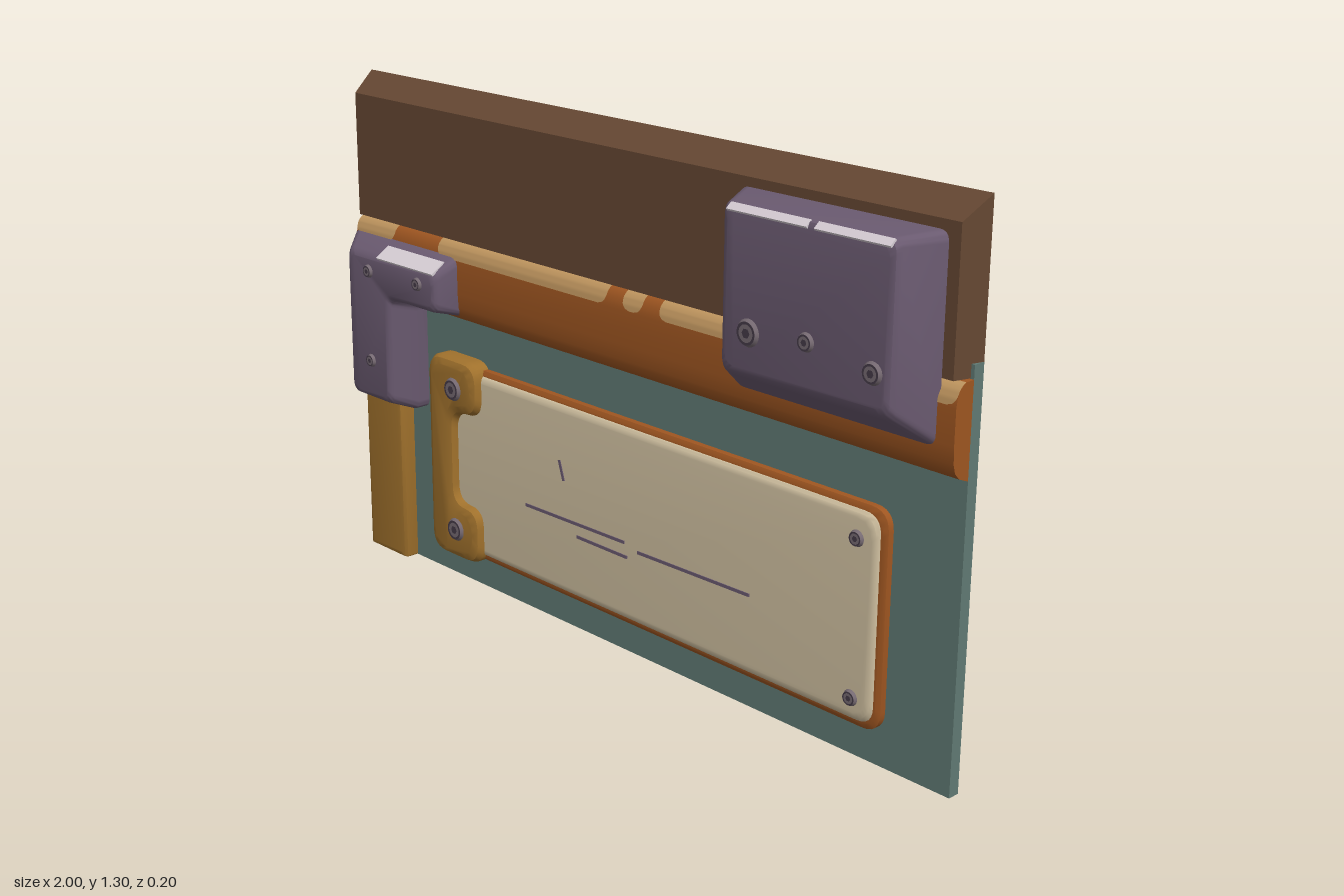
import * as THREE from 'three';
import { toCreasedNormals } from 'three/addons/utils/BufferGeometryUtils.js';

const paint = (name, color) => {
  const m = new THREE.MeshStandardMaterial({ color });
  m.name = name;
  return m;
};

// Shrinks a counter-clockwise outline by d
function inset(pts, d) {
  const n = pts.length;
  const inward = (a, b) => new THREE.Vector2(a.y - b.y, b.x - a.x).normalize();
  return pts.map((p, i) => {
    const n1 = inward(pts[(i + n - 1) % n], p), n2 = inward(p, pts[(i + 1) % n]);
    return p.clone().addScaledVector(n1.clone().add(n2), d / (1 + n1.dot(n2)));
  });
}

// Rounds every corner of an outline
function rounded(pts, r, steps = 6) {
  const out = [], n = pts.length;
  pts.forEach((p, i) => {
    const toward = (q) => p.clone().add(q.clone().sub(p).setLength(Math.min(r, q.distanceTo(p) * 0.49)));
    const curve = new THREE.QuadraticBezierCurve(toward(pts[(i + n - 1) % n]), p, toward(pts[(i + 1) % n]));
    out.push(...curve.getPoints(steps));
  });
  return out;
}

// Lofts a back outline into a front one; profile rows are [z, blend, inset]
function plate(back, front, r, profile) {
  const a = back.map((p) => new THREE.Vector2(...p)), b = front.map((p) => new THREE.Vector2(...p));
  const rings = profile.map(([, t, d]) => rounded(inset(a.map((p, i) => p.clone().lerp(b[i], t)), d), r));
  const n = rings[0].length, pos = [], idx = [];
  rings.forEach((ring, k) => ring.forEach((p) => pos.push(p.x, p.y, profile[k][0])));
  for (let k = 0; k < rings.length - 1; k++) {
    for (let i = 0; i < n; i++) {
      const j = (i + 1) % n, u = k * n, v = u + n;
      idx.push(u + i, u + j, v + j, u + i, v + j, v + i);
    }
  }
  const top = (rings.length - 1) * n;
  THREE.ShapeUtils.triangulateShape(rings[rings.length - 1], []).forEach(([i, j, k]) => idx.push(top + i, top + j, top + k));
  THREE.ShapeUtils.triangulateShape(rings[0], []).forEach(([i, j, k]) => idx.push(k, j, i));
  const g = new THREE.BufferGeometry();
  g.setAttribute('position', new THREE.Float32BufferAttribute(pos, 3));
  g.setIndex(idx);
  return toCreasedNormals(g, 0.6);
}

const rect = (x0, y0, x1, y1) => [[x0, y0], [x1, y0], [x1, y1], [x0, y1]];

export function createModel() {
  const root = new THREE.Group();
  root.name = 'wallPanel';
  const brown = paint('brown', 0x664833), teal = paint('teal', 0x617b74);
  const purple = paint('purple', 0x6a5a70), cream = paint('cream', 0xd2c2a2);
  const orange = paint('orange', 0x9f5621), ochre = paint('ochre', 0xa0712c);
  const tan = paint('wornTan', 0xc0965f), pale = paint('paleEdge', 0xd6cdd4);
  const steel = paint('steel', 0x766a72), dark = paint('darkSocket', 0x443a48);

  const add = (name, geo, mat, x = 0, y = 0, z = 0) => {
    const m = new THREE.Mesh(geo, mat);
    m.name = name;
    m.position.set(x, y, z);
    root.add(m);
    return m;
  };

  // Wall sheet
  add('wallSheet', new THREE.BoxGeometry(1.975, 0.96, 0.03), teal, 0.0125, 0.48, -0.085);

  // Top beam, with a sloping top and tapered ends
  const beam = new THREE.BoxGeometry(2, 0.37, 0.0695);
  const bp = beam.attributes.position;
  for (let i = 0; i < bp.count; i++) {
    if (bp.getZ(i) < 0) continue;
    bp.setX(i, Math.sign(bp.getX(i)) * 0.98);
    if (bp.getY(i) > 0) bp.setY(i, 0.135);
  }
  beam.computeVertexNormals();
  add('topBeam', beam, brown, 0, 1.115, -0.06475);

  // Rail under the beam
  const railProfile = [[-0.07, 0.715], [-0.04, 0.727], [-0.026, 0.742], [-0.02, 0.762], [-0.018, 0.8], [-0.018, 0.88],
    [-0.021, 0.898], [-0.028, 0.914], [-0.037, 0.924], [-0.048, 0.929], [-0.07, 0.929]];
  const railShape = new THREE.Shape(railProfile.map(([z, y]) => new THREE.Vector2(-z, y)));
  const rail = new THREE.ExtrudeGeometry(railShape, { depth: 1.98, bevelEnabled: false });
  rail.rotateY(Math.PI / 2).translate(-0.98, 0, 0);
  add('rail', toCreasedNormals(rail, 0.6), orange);

  // Worn patches that follow the rail's top curve
  const railZ = (y) => {
    for (let i = 4; i < 9; i++) {
      const [z0, y0] = railProfile[i], [z1, y1] = railProfile[i + 1];
      if (y <= y1) return z0 + (z1 - z0) * (y - y0) / (y1 - y0);
    }
    return -0.048;
  };
  for (const [x0, x1] of [[-0.98, -0.82], [-0.64, -0.015], [0.04, 0.105], [0.16, 1]]) {
    const w = x1 - x0, h = 0.045, r = 0.025;
    const g = new THREE.PlaneGeometry(w, h, 1, 12);
    const p = g.attributes.position;
    for (let i = 0; i < p.count; i++) {
      const up = Math.max(0, p.getY(i) + h / 2), y = 0.884 + up;
      const cut = up < r ? r - Math.sqrt(up * (2 * r - up)) : 0;
      p.setXYZ(i, p.getX(i) - Math.sign(p.getX(i)) * cut, y, railZ(y) + 0.002);
    }
    g.computeVertexNormals();
    add('wornPatch', g, tan, (x0 + x1) / 2);
  }

  // Side post
  const post = rect(-0.978, 0, -0.825, 0.73);
  add('sidePost', plate(post, post, 0.004, [[-0.07, 0, 0], [-0.036, 0, 0], [-0.028, 0, 0.004], [-0.024, 0, 0.014]]), ochre);

  // Corner bracket
  const bracketBack = [[-1, 0.44], [-0.755, 0.44], [-0.755, 0.735], [-0.555, 0.735], [-0.555, 0.9], [-1, 0.9]];
  const bracketFront = [[-0.94, 0.47], [-0.775, 0.47], [-0.775, 0.755], [-0.58, 0.755], [-0.58, 0.855], [-0.94, 0.855]];
  add('cornerBracket', plate(bracketBack, bracketFront, 0.025,
    [[-0.07, 0, 0], [-0.035, 0, 0], [0.03, 0.85, 0], [0.038, 0.95, 0.003], [0.043, 1, 0.01]]), purple);

  // Upper block
  add('upperBlock', plate(rect(0.4, 0.785, 0.955, 1.23), rect(0.465, 0.865, 0.925, 1.225), 0.025,
    [[-0.025, 0, 0], [0.08, 0.88, 0], [0.092, 0.97, 0.004], [0.097, 1, 0.014]]), purple);

  // Pale worn edges
  const edge = (x0, x1, h, y, z, tilt) => {
    add('paleEdge', new THREE.BoxGeometry(x1 - x0, h, 0.006), pale, (x0 + x1) / 2, y, z).rotation.x = tilt;
  };
  edge(0.48, 0.7, 0.02, 1.217, 0.093, -0.9);
  edge(0.72, 0.915, 0.02, 1.217, 0.093, -0.9);
  edge(-0.815, -0.585, 0.048, 0.865, 0.022, -1.0);

  // Name plate on its tray
  const tray = rect(-0.69, 0.085, 0.818, 0.602), face = rect(-0.66, 0.1, 0.803, 0.59);
  add('plateTray', plate(tray, tray, 0.05, [[-0.07, 0, 0], [-0.054, 0, 0], [-0.048, 0, 0.01]]), orange);
  add('plateFace', plate(face, face, 0.045,
    [[-0.05, 0, 0], [-0.046, 0, 0.002], [-0.041, 0, 0.008], [-0.039, 0, 0.018]]), cream);

  // Scratches
  for (const [x0, y0, x1, y1] of [[-0.33, 0.294, 0.03, 0.3], [-0.14, 0.264, 0.04, 0.264],
    [0.075, 0.288, 0.44, 0.295], [-0.203, 0.447, -0.187, 0.397]]) {
    const g = new THREE.BoxGeometry(Math.hypot(x1 - x0, y1 - y0), 0.008, 0.003);
    add('scratch', g, purple, (x0 + x1) / 2, (y0 + y1) / 2, -0.0385).rotation.z = Math.atan2(y1 - y0, x1 - x0);
  }

  // Clamp holding the plate
  const clamp = [[-0.695, 0.075], [-0.5, 0.075], [-0.5, 0.228], [-0.598, 0.228],
    [-0.598, 0.478], [-0.5, 0.478], [-0.5, 0.62], [-0.695, 0.62]];
  add('clamp', plate(clamp, clamp, 0.05,
    [[-0.07, 0, 0], [-0.035, 0, 0], [-0.022, 0, 0.006], [-0.015, 0, 0.02]]), ochre);

  // Screws: domed ring with a dark socket
  for (const [x, y, z, r] of [
    [-0.585, 0.542, -0.015, 0.032], [-0.585, 0.158, -0.015, 0.032],
    [0.745, 0.525, -0.039, 0.02], [0.745, 0.153, -0.039, 0.02],
    [-0.85, 0.813, 0.043, 0.018], [-0.645, 0.818, 0.043, 0.018], [-0.85, 0.572, 0.043, 0.018],
    [0.545, 0.96, 0.097, 0.032], [0.705, 0.975, 0.097, 0.022], [0.88, 0.95, 0.097, 0.026]]) {
    const head = new THREE.CylinderGeometry(r * 0.8, r, 0.009, 20).rotateX(Math.PI / 2);
    add('screwHead', head, steel, x, y, z + 0.003);
    add('screwRim', new THREE.RingGeometry(r * 0.62, r * 0.8, 20), dark, x, y, z + 0.008);
    add('screwSocket', new THREE.CircleGeometry(r * 0.35, 6), dark, x, y, z + 0.008);
  }
  return root;
}
